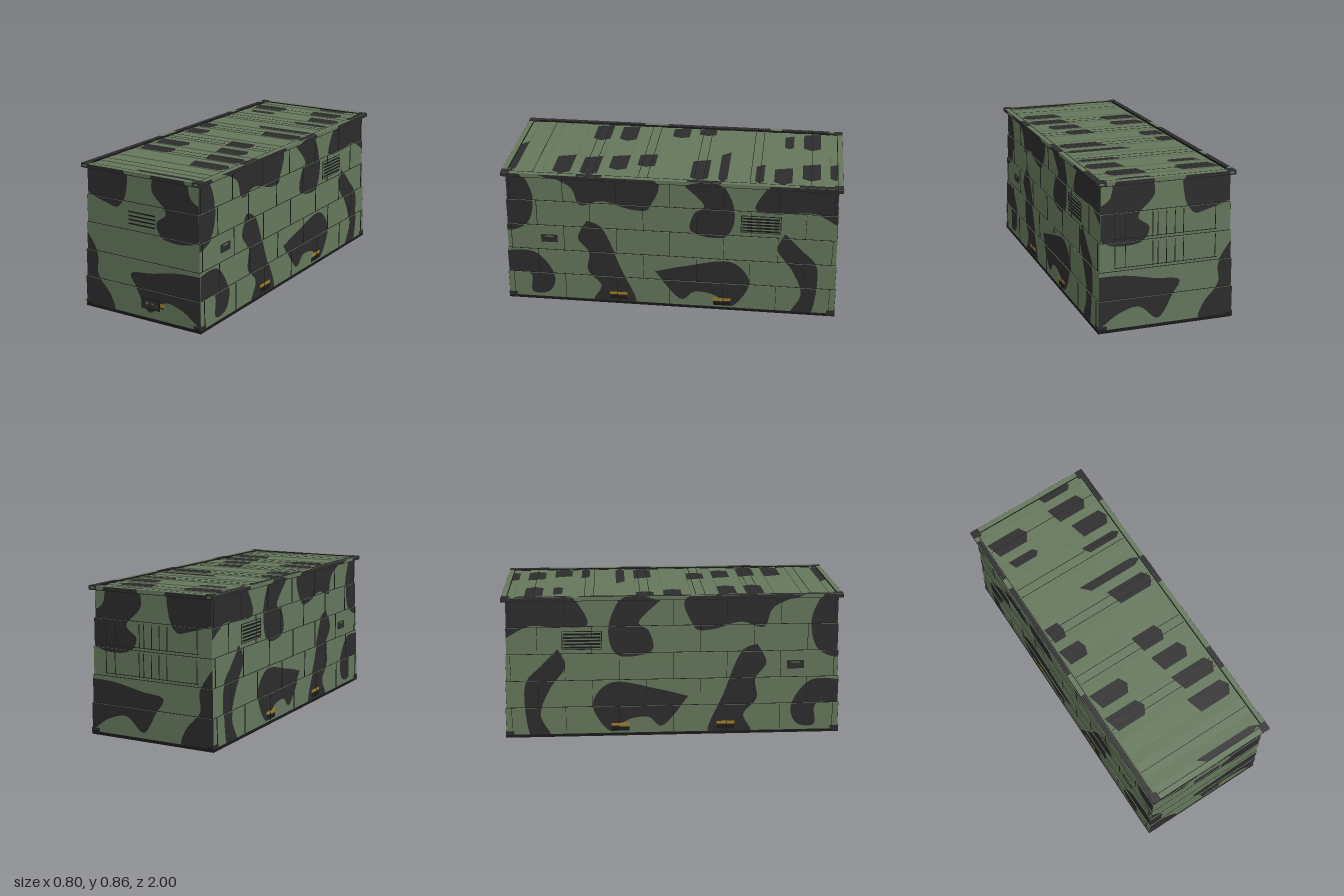
import * as THREE from 'three';

const flat = (name, color) => Object.assign(new THREE.MeshStandardMaterial({ color }), { name });
const M = {
  green: flat('olive green paint', 0x65775c),
  dark: flat('dark camouflage paint', 0x2c2c2c),
  black: flat('black trim', 0x1a1a1a),
  yellow: flat('yellow label', 0xa57d1f),
  grey: flat('grey metal', 0x6a6d66),
};
M.dark.side = THREE.DoubleSide;

// Wall levels: five panels stepping inwards, then the top rim
const levels = Array.from({ length: 6 }, (_, i) => ({
  y0: i ? .02 + .1632 * i : .017,
  y1: i < 5 ? .02 + .1632 * (i + 1) : .857,
  hx: i < 5 ? .397 - .0055 * i : .4,
  hz: i < 5 ? .995 - .005 * i : .9985,
}));

// Camouflage outlines, smoothed into curves: [x, y] on the ends
const endPatches = [
  [[-.45, .9], [-.13, .88], [-.105, .74], [-.15, .645], [-.22, .64], [-.45, .73]],
  [[.09, .88], [.07, .76], [.165, .65], [.1, .58], [.15, .5], [.32, .495], [.45, .58], [.45, .68], [.33, .75], [.28, .88]],
  [[-.45, .5], [-.385, .45], [-.31, .33], [-.31, .21], [-.22, .1], [-.21, 0], [-.45, 0]],
  [[.45, .325], [.25, .32], [.07, .285], [-.075, .26], [-.03, .17], [.05, .05], [.16, .13], [.28, .105], [.45, .02]],
];
// [z, y] on the long sides
const sidePatches = [
  [[1.05, .9], [.91, .88], [.82, .7], [.87, .51], [1.05, .5]],
  [[.82, .87], [.12, .87], [.12, .67], [.22, .645], [.4, .69], [.54, .66], [.6, .78]],
  [[-.07, .83], [-.28, .86], [-.38, .67], [-.33, .5], [-.13, .52], [-.14, .64], [-.2, .7]],
  [[-.6, .88], [-.5, .69], [-.68, .67], [-.85, .68], [-1.05, .6], [-1.05, .88]],
  [[.5, .555], [.4, .5], [.3, .25], [.21, 0], [.46, 0], [.42, .12], [.5, .22], [.49, .34], [.555, .44]],
  [[1.05, .32], [.83, .33], [.71, .18], [.74, .06], [.85, .05], [.86, .18], [1.05, .19]],
  [[.09, .24], [-.1, .29], [-.36, .335], [-.48, .2], [-.38, .03], [-.27, .1], [-.15, .115], [-.06, .06]],
  [[-.68, .54], [-.78, .44], [-.88, .31], [-.85, 0], [-.73, 0], [-.79, .14], [-.73, .3], [-.64, .43]],
];
// Roof patches: rib position, x from, x to, half depth when only part of a rib
const RIB = .163, RIB_HALF = .0525;
const roofPatches = [
  [-5.85, .06, .28, .03], [-5, -.36, -.11], [-5, .07, .3], [-4.14, -.31, -.12, .027], [-4, .14, .36],
  [-3.16, .11, .36, .025], [-1.85, -.04, .37, .027], [-1, .08, .36], [-1, -.36, -.26], [0, -.36, -.21],
  [1, .04, .22], [2, -.36, -.13], [2, .07, .28], [3, -.36, -.12], [3, .1, .36], [4, .1, .36], [5.8, -.06, .36, .02],
];

// Cut a polygon to one side of a line along axis a
const cut = (pts, a, limit, sign) => pts.flatMap((p, i) => {
  const q = pts[(i + 1) % pts.length];
  const dp = (limit - p[a]) * sign, dq = (limit - q[a]) * sign, out = dp >= 0 ? [p] : [];
  if (dp * dq < 0) {
    const t = dp / (dp - dq);
    out.push([p[0] + (q[0] - p[0]) * t, p[1] + (q[1] - p[1]) * t]);
  }
  return out;
});
const vectors = (pts) => pts.map((p) => new THREE.Vector2(...p));
const sheet = (pts) => new THREE.ShapeGeometry(new THREE.Shape(vectors(pts)));

function add(parent, name, geo, mat, x = 0, y = 0, z = 0) {
  const m = new THREE.Mesh(geo, mat);
  m.name = name;
  m.position.set(x, y, z);
  parent.add(m);
  return m;
}
// Box given by its extents
const box = (parent, name, mat, x0, x1, y0, y1, z0, z1) =>
  add(parent, name, new THREE.BoxGeometry(x1 - x0, y1 - y0, z1 - z0), mat, (x0 + x1) / 2, (y0 + y1) / 2, (z0 + z1) / 2);

// Camouflage sheets on both opposite walls, cut at each level
function paint(parent, patches, isSide) {
  for (const patch of patches) {
    const curve = new THREE.SplineCurve(vectors([...patch, patch[0]]));
    const outline = curve.getPoints(patch.length * 6).slice(0, -1).map((p) => [p.x, p.y]);
    for (const { y0, y1, hx, hz } of levels) {
      const half = isSide ? hz : hx;
      let pts = cut(cut(outline, 1, y1 - .001, 1), 1, y0, -1);
      pts = cut(cut(pts, 0, half, 1), 0, -half, -1);
      if (pts.length < 3) continue;
      const geo = sheet(pts);
      for (const s of [-1, 1]) {
        const m = add(parent, isSide ? 'sideCamouflage' : 'endCamouflage', geo, M.dark);
        if (isSide) { m.rotation.y = -Math.PI / 2; m.position.x = s * (hx + .0012); }
        else m.position.z = s * (hz + .0012);
      }
    }
  }
}

export function createModel() {
  const g = new THREE.Group();
  g.name = 'container';

  // Base and stepped walls with dark seams
  box(g, 'base', M.black, -.4, .4, 0, .017, -1, 1);
  levels.slice(0, 5).forEach(({ y0, y1, hx, hz }, i) => {
    box(g, 'wallLevel', M.green, -hx, hx, y0, y1, -hz, hz);
    if (i) box(g, 'levelSeam', M.black, -hx - .0025, hx + .0025, y0, y0 + .003, -hz - .0025, hz + .0025);
    // Thin upright panel joints along the sides
    for (let z = -.96 + (i % 2) * .16; z < .97; z += .32)
      for (const s of [-1, 1])
        box(g, 'panelJoint', M.black, s * hx - .005, s * hx + .005, y0 + .004, y1, z - .001, z + .001);
  });

  // Top rim and corner fittings
  for (const s of [-1, 1]) {
    box(g, 'sideRim', M.green, s * .386 - .014, s * .386 + .014, .836, .857, -.9985, .9985);
    box(g, 'endRim', M.green, -.372, .372, .836, .857, s * .983 - .0155, s * .983 + .0155);
    box(g, 'rimInnerLine', M.black, s * .371 - .002, s * .371 + .002, .845, .8574, -.968, .968);
    box(g, 'rimEndLine', M.black, -.37, .37, .845, .8574, s * .967 - .002, s * .967 + .002);
    box(g, 'rimUnderside', M.black, s * .386 - .014, s * .386 + .014, .833, .836, -1, 1);
    box(g, 'rimEndUnderside', M.black, -.372, .372, .833, .836, s * .986 - .014, s * .986 + .014);
    for (const t of [-1, 1]) {
      const corner = (name, y0, y1, h, slot) => {
        const x = s * .375, y = (y0 + y1) / 2;
        box(g, name, M.dark, x - .025, x + .025, y0, y1, t * .974 - .0255, t * .974 + .0255);
        box(g, 'cornerSlot', slot, x - .013, x + .013, y - h, y + h, t * .999 - .001, t * .999 + .001);
      };
      corner('bottomCorner', .003, .039, .007, M.black);
      corner('topCorner', .834, .858, .005, M.green);
    }
  }
  for (const [x, z0, z1] of [[-.387, -.92, -.62], [-.387, -.55, .1], [-.387, .25, .95], [.387, -.95, -.75], [.387, -.3, -.1], [.387, .4, .55]])
    box(g, 'rimCamouflage', M.dark, x - .0125, x + .0125, .857, .8578, z0, z1);

  // Ribbed roof
  box(g, 'roof', M.green, -.373, .373, .836, .845, -.97, .97);
  for (let k = -6; k <= 6; k++) {
    const z = k * RIB;
    box(g, 'roofRib', M.green, -.36, .36, .845, .851, Math.max(z - RIB_HALF, -.966), Math.min(z + RIB_HALF, .966));
  }
  // Roof joints at every third gap edge and along the outer ribs
  for (const k of [-5, -3, -1, 1, 3, 5])
    for (const d of Math.abs(k) === 5 ? [0] : [-.027, .027])
      box(g, 'roofLine', M.black, -.36, .36, .845, .8522, k * RIB + d - .0015, k * RIB + d + .0015);
  for (const [k, x0, x1, d = RIB_HALF] of roofPatches) {
    const z = k * RIB, tip = (x1 - x0) * .12;
    const geo = sheet([[x0, z - d], [x1 - tip, z - d], [x1, z], [x1 - tip, z + d], [x0 + tip, z + d]]);
    add(g, 'roofCamouflage', geo, M.dark, 0, .8519).rotation.x = Math.PI / 2;
  }

  paint(g, endPatches, false);
  paint(g, sidePatches, true);

  // Front vent slits
  for (let i = 0; i < 4; i++)
    box(g, 'frontVentSlit', M.black, -.09, .09, .546 + i * .023, .554 + i * .023, .979, .982);

  // Front control box with frame, knobs and a label
  box(g, 'controlBoxFrame', M.black, -.003, .123, .07, .133, .99, .998);
  box(g, 'controlBox', M.dark, .005, .115, .075, .128, .99, .999);
  for (const [x, y, r] of [[.037, .105, .009], [.075, .105, .007], [.1, .094, .004]])
    add(g, 'knob', new THREE.CylinderGeometry(r, r, .002, 12), M.grey, x, y, .999).rotation.x = Math.PI / 2;
  box(g, 'frontLabel', M.yellow, .125, .155, .098, .118, .994, .998);
  box(g, 'frontLabelBase', M.black, .127, .152, .09, .097, .994, .998);

  // Rear door bars and sills
  for (const { y0, y1, hz } of levels.slice(2, 4)) {
    for (const x of [-.29, -.1, -.05, 0, .05, .08, .24, .3])
      box(g, 'rearDoorBar', M.black, x - .0015, x + .0015, y0 + .015, y1 - .01, -hz - .004, -hz);
    box(g, 'rearDoorSill', M.black, -.3, .3, y0 + .017, y0 + .02, -hz - .003, -hz);
  }

  // Long-side fittings, the same on both sides
  for (const s of [-1, 1]) {
    const plate = (name, mat, hx, d, z0, z1, y0, y1) =>
      box(g, name, mat, s * hx - d, s * hx + d, y0, y1, z0, z1);
    for (const z of [-.315, .315]) {
      plate('forkLabel', M.yellow, .397, .0029, z - .055, z + .055, .063, .08);
      plate('forkPocket', M.black, .397, .0025, z - .052, z + .052, .03, .056);
    }
    plate('sideHatch', M.dark, .386, .003, .68, .78, .4, .45);
    plate('sideHatchHandle', M.green, .386, .004, .705, .755, .436, .443);
    plate('ventFrame', M.black, .3805, .0025, -.655, -.418, .535, .648);
    plate('ventPanel', M.green, .3805, .0032, -.65, -.423, .539, .644);
    for (let i = 0; i < 5; i++)
      plate('ventSlat', M.black, .3805, .0045, -.645, -.428, .544 + i * .02, .555 + i * .02);
  }
  return g;
}
